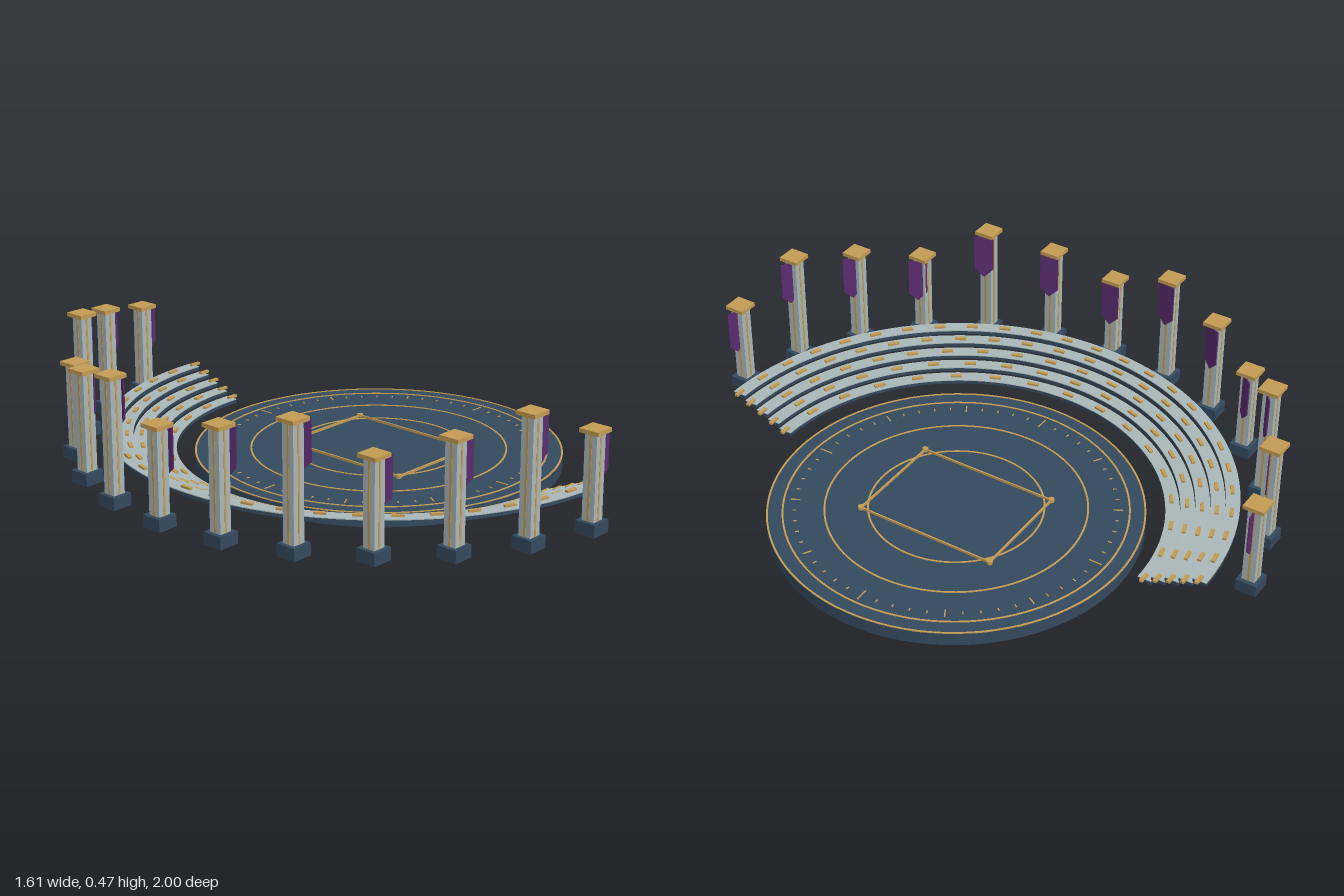
import * as THREE from 'three';

const material = (name, color, side = THREE.FrontSide) => {
  const m = new THREE.MeshStandardMaterial({ color, side });
  m.name = name;
  return m;
};

export function createModel() {
  const navy = material('navy', 0x34495e);
  const stone = material('pale stone', 0xaab7b8);
  const gold = material('gold', 0xc39b53);
  const purple = material('purple cloth', 0x5b2c6f, THREE.DoubleSide);

  const model = new THREE.Group();
  model.name = 'amphitheatre';
  model.position.x = 0.204; // everything is laid out around the stage centre

  const add = (parent, name, geometry, mat, x = 0, y = 0, z = 0, turn = 0) => {
    const mesh = new THREE.Mesh(geometry, mat);
    mesh.name = name;
    mesh.position.set(x, y, z);
    mesh.rotation.y = turn;
    parent.add(mesh);
    return mesh;
  };
  const box = (w, h, d) => new THREE.BoxGeometry(w, h, d);

  // Flat band on the ground plane; half = only the -x side
  const band = (inner, outer, height, half = false) => {
    const s = new THREE.Shape();
    if (half) {
      s.absarc(0, 0, outer, Math.PI / 2, Math.PI * 1.5, false);
      s.absarc(0, 0, inner, Math.PI * 1.5, Math.PI / 2, true);
      s.closePath();
    } else {
      s.absarc(0, 0, outer, 0, Math.PI * 2, false);
      const hole = new THREE.Path();
      hole.absarc(0, 0, inner, 0, Math.PI * 2, true);
      s.holes.push(hole);
    }
    return new THREE.ExtrudeGeometry(s, { depth: height, bevelEnabled: false, curveSegments: 48 })
      .rotateX(-Math.PI / 2);
  };

  // Stage disc with gold inlaid circles
  const top = 0.045;
  const stage = new THREE.Group();
  stage.name = 'stage';
  model.add(stage);
  add(stage, 'stageDisc', new THREE.CylinderGeometry(0.602, 0.602, top, 96), navy, 0, top / 2);
  for (const r of [0.28, 0.418, 0.55, 0.599]) {
    add(stage, 'inlaidCircle', band(r - 0.003, r + 0.003, 0.003), gold, 0, top - 0.001);
  }

  // Dial ticks
  for (let i = 0; i < 60; i++) {
    const a = (i / 60) * Math.PI * 2;
    const length = i % 15 === 0 ? 0.045 : i % 5 === 0 ? 0.03 : 0.012;
    add(stage, 'dialTick', box(length, 0.003, 0.004), gold,
      Math.cos(a) * 0.513, top + 0.0005, Math.sin(a) * 0.513, -a);
  }

  // Raised rectangular frame with corner studs
  const fx = 0.18, fz = 0.243;
  for (const s of [-1, 1]) {
    add(stage, 'frameSide', box(0.005, 0.008, fz * 2), gold, s * fx, top + 0.004, 0);
    add(stage, 'frameEnd', box(fx * 2, 0.008, 0.005), gold, 0, top + 0.004, s * fz);
    for (const t of [-1, 1]) {
      add(stage, 'cornerStud', new THREE.CylinderGeometry(0.01, 0.01, 0.011, 12), gold, s * fx, top + 0.0055, t * fz);
    }
  }

  // Five stepped half-ring tiers with gold seat markers
  const seatGeometry = box(0.012, 0.008, 0.038);
  for (let k = 0; k < 5; k++) {
    const inner = 0.661 + k * 0.046, y = 0.06 + k * 0.02;
    const tier = new THREE.Group();
    tier.name = 'seatingTier';
    model.add(tier);
    add(tier, 'tierSlab', band(inner, inner + 0.046, 0.011, true), navy, 0, y - 0.014);
    add(tier, 'tierTop', band(inner, inner + 0.046, 0.003, true), stone, 0, y - 0.003);
    const count = 16 + k * 2, r = inner + 0.021;
    for (let i = 0; i <= count; i++) {
      const a = Math.PI * (0.5 + i / count);
      add(tier, 'seatMarker', seatGeometry, gold, Math.cos(a) * r, y + 0.003, Math.sin(a) * r, -a);
    }
  }

  // Pointed hanging banner
  const cloth = new THREE.Shape([[-0.032, 0], [-0.032, -0.128], [0, -0.16], [0.032, -0.128], [0.032, 0]]
    .map(([x, y]) => new THREE.Vector2(x, y)));
  const bannerGeometry = new THREE.ExtrudeGeometry(cloth, { depth: 0.004, bevelEnabled: false })
    .translate(0, 0, -0.002);

  // Columns around the back, in three repeating heights
  const heights = [0.375, 0.47, 0.422];
  for (let i = 0; i < 13; i++) {
    const a = Math.PI * (0.45 - i * 0.075) + Math.PI; // sweeps the -x side
    const h = heights[(12 - i) % 3];
    const column = new THREE.Group();
    column.name = 'column';
    column.position.set(Math.cos(a) * 0.977, 0, Math.sin(a) * 0.977);
    model.add(column);

    const shaftHeight = h - 0.013 - 0.09, mid = 0.09 + shaftHeight / 2;
    add(column, 'columnBase', box(0.07, 0.04, 0.07), navy, 0, 0.07);
    add(column, 'columnShaft', box(0.043, shaftHeight, 0.043), stone, 0, mid);
    add(column, 'columnCap', box(0.068, 0.013, 0.068), gold, 0, h - 0.0065);
    // Gold inlay down the middle of each face
    add(column, 'shaftInlay', box(0.007, shaftHeight, 0.045), gold, 0, mid);
    add(column, 'shaftInlay', box(0.045, shaftHeight, 0.007), gold, 0, mid);
    // Banner turned towards the stage
    add(column, 'banner', bannerGeometry, purple, 0.031, h - 0.013, 0, -a - Math.PI / 2);
  }
  return model;
}
